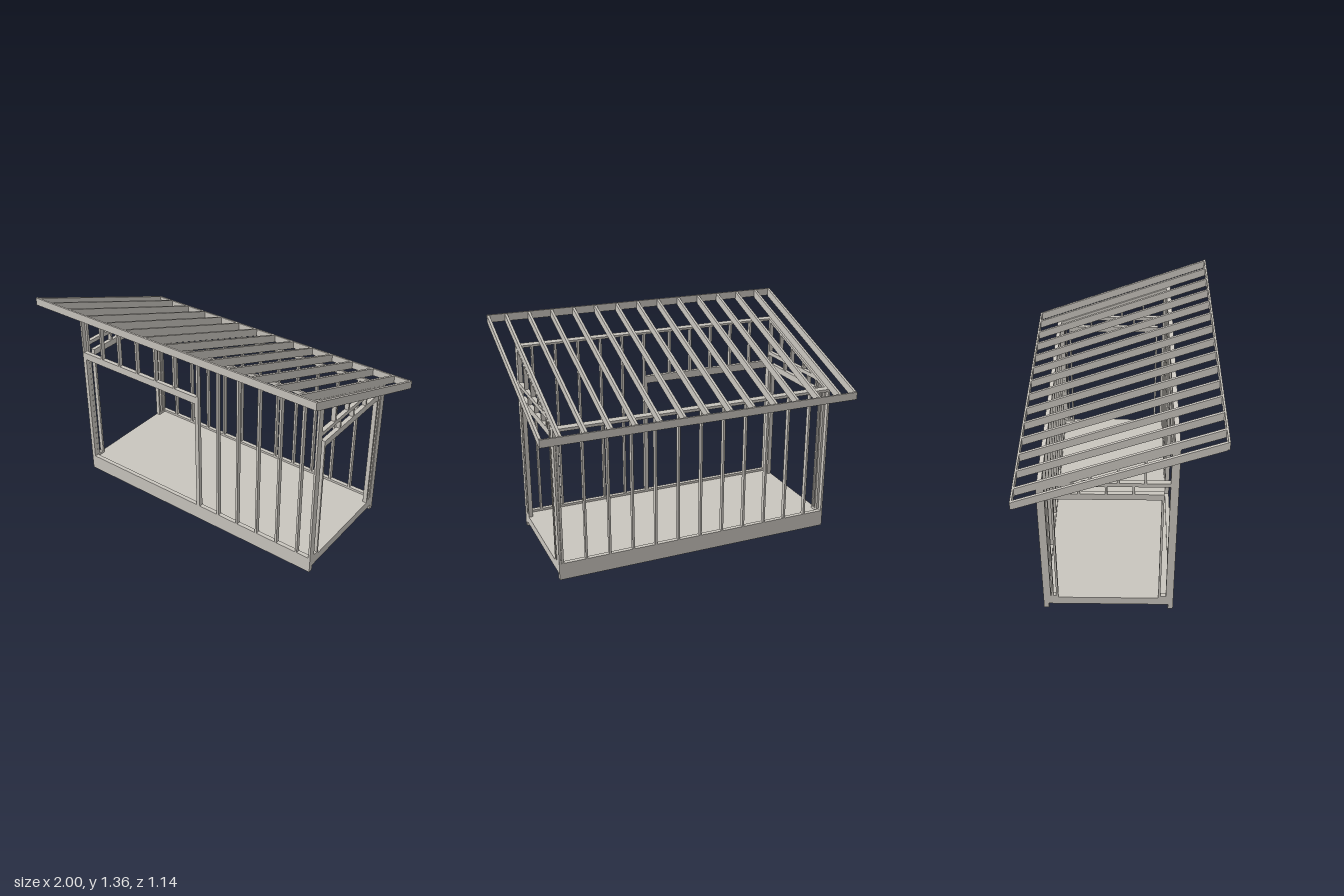
import * as THREE from 'three';

const timber = new THREE.MeshStandardMaterial({ color: 0xc9c5be });
timber.name = 'timber';

const W = 0.889;             // half length of the walls
const D = 0.027;             // wall depth
const T = 0.013;             // stud thickness
const FRONT = 0.333, BACK = -0.441;
const STEP = 0.147;          // framing spacing
const SLOPE = 0.37;
const roofY = z => 1.103 + SLOPE * z;       // underside of the rafters
const plateY = z => roofY(z) - 0.017;       // underside of the sloped side plates

export function createModel() {
  const model = new THREE.Group();
  model.name = 'shedFrame';

  const group = name => {
    const g = new THREE.Group();
    g.name = name;
    model.add(g);
    return g;
  };

  // box given by its limits
  const box = (parent, name, x0, x1, y0, y1, z0, z1) => {
    const geo = new THREE.BoxGeometry(x1 - x0, y1 - y0, z1 - z0);
    geo.translate((x0 + x1) / 2, (y0 + y1) / 2, (z0 + z1) / 2);
    const mesh = new THREE.Mesh(geo, timber);
    mesh.name = name;
    parent.add(mesh);
  };

  // outline in [z, y] pushed out along x
  const prism = (parent, name, x0, x1, outline) => {
    const shape = new THREE.Shape(outline.map(p => new THREE.Vector2(p[0], p[1])));
    const geo = new THREE.ExtrudeGeometry(shape, { depth: x1 - x0, bevelEnabled: false });
    geo.rotateY(-Math.PI / 2).translate(x1, 0, 0);
    const mesh = new THREE.Mesh(geo, timber);
    mesh.name = name;
    parent.add(mesh);
  };

  // piece with a level bottom and a top that follows a slope
  const sloped = (parent, name, x0, x1, y0, z0, z1, top) =>
    prism(parent, name, x0, x1, [[z0, y0], [z1, y0], [z1, top(z1)], [z0, top(z0)]]);

  // floor: rims, joists and deck
  const floor = group('floor');
  box(floor, 'frontRim', -W, W, 0, 0.08, FRONT - 0.03, FRONT);
  box(floor, 'backRim', -W, W, 0, 0.08, BACK, BACK + 0.03);
  for (let i = 0; i < 13; i++) {
    const x = -0.882 + STEP * i;
    box(floor, 'joist', x - 0.007, x + 0.007, 0.035, 0.08, BACK + 0.03, FRONT - 0.03);
  }
  box(floor, 'deck', -W, W, 0.08, 0.09, BACK, FRONT);

  // front wall with a wide opening on one half
  const front = group('frontWall');
  const f0 = FRONT - D;
  const frontStud = (name, x, y0 = 0.105, y1 = 1.203) =>
    box(front, name, x - T / 2, x + T / 2, y0, y1, f0, FRONT);
  box(front, 'bottomPlate', -W, W, 0.09, 0.105, f0, FRONT);
  sloped(front, 'topPlate', -W, W, 1.203, f0, FRONT, roofY);
  frontStud('cornerStud', -W + T / 2);
  frontStud('cornerStud', W - T / 2);
  for (let i = 0; i < 5; i++) frontStud('stud', 0.2 + STEP * i);
  frontStud('kingStud', 0.0505);
  box(front, 'header', -0.876, 0.044, 0.872, 0.92, f0, FRONT);
  frontStud('trimmer', -0.8695, 0.105, 0.872);
  frontStud('trimmer', 0.0375, 0.105, 0.872);
  for (let i = 0; i < 5; i++) frontStud('cripple', -0.72 + 0.148 * i, 0.92);

  // back wall
  const back = group('backWall');
  const b1 = BACK + D;
  const backStud = (name, x) => box(back, name, x - T / 2, x + T / 2, 0.105, 0.923, BACK, b1);
  box(back, 'bottomPlate', -W, W, 0.09, 0.105, BACK, b1);
  sloped(back, 'topPlate', -W, W, 0.923, BACK, b1, roofY);
  backStud('cornerStud', -W + T / 2);
  backStud('cornerStud', W - T / 2);
  for (let i = 0; i < 12; i++) backStud('stud', -0.75 + STEP * i);

  // side walls, each with a tall opening
  for (const [name, x0] of [['rightWall', -W], ['leftWall', W - D]]) {
    const wall = group(name);
    const x1 = x0 + D;
    const post = (label, y0, z, w = T) =>
      sloped(wall, label, x0, x1, y0, z - w / 2, z + w / 2, plateY);
    prism(wall, 'slopedPlate', x0, x1,
      [[b1, plateY(b1)], [f0, plateY(f0)], [f0, roofY(f0)], [b1, roofY(b1)]]);
    post('endStud', 0.09, 0.297, 0.018);
    post('endStud', 0.09, -0.4055, 0.017);
    post('innerStud', 0.09, -0.386, 0.01);
    box(wall, 'bottomPlate', x0, x1, 0.09, 0.105, 0.243, 0.288);
    box(wall, 'bottomPlate', x0, x1, 0.09, 0.105, -0.397, -0.352);
    box(wall, 'trimmer', x0, x1, 0.105, 0.872, 0.243, 0.256);
    box(wall, 'trimmer', x0, x1, 0.105, 0.872, -0.364, -0.352);
    box(wall, 'header', x0, x1, 0.872, 0.912, -0.364, 0.256);
    // middle plate dying into the sloped plate
    prism(wall, 'middlePlate', x0, x1,
      [[-0.327, 0.965], [0.288, 0.965], [0.288, 0.99], [-0.26, 0.99]]);
    for (const z of [0.089, -0.06, -0.208, -0.31])
      box(wall, 'lowerCripple', x0, x1, 0.912, 0.965, z - T / 2, z + T / 2);
    post('lowerCripple', 0.912, -0.338);
    for (const z of [0.152, 0.005, -0.145]) post('upperCripple', 0.99, z);
  }

  // roof: rafters between two fascia boards
  const roof = group('roof');
  const e = 0.559, t = 0.051;
  const xs = [-0.992, 0.992];
  for (let i = 0; i < 13; i++) xs.push(-0.884 + STEP * i);
  for (const x of xs)
    prism(roof, 'rafter', x - 0.008, x + 0.008,
      [[-e, roofY(-e)], [e, roofY(e)], [e, roofY(e) + t], [-e, roofY(-e) + t]]);
  box(roof, 'frontFascia', -1, 1, 1.316, 1.364, e, 0.57);
  box(roof, 'backFascia', -1, 1, 0.898, 0.945, -0.57, -e);

  return model;
}
